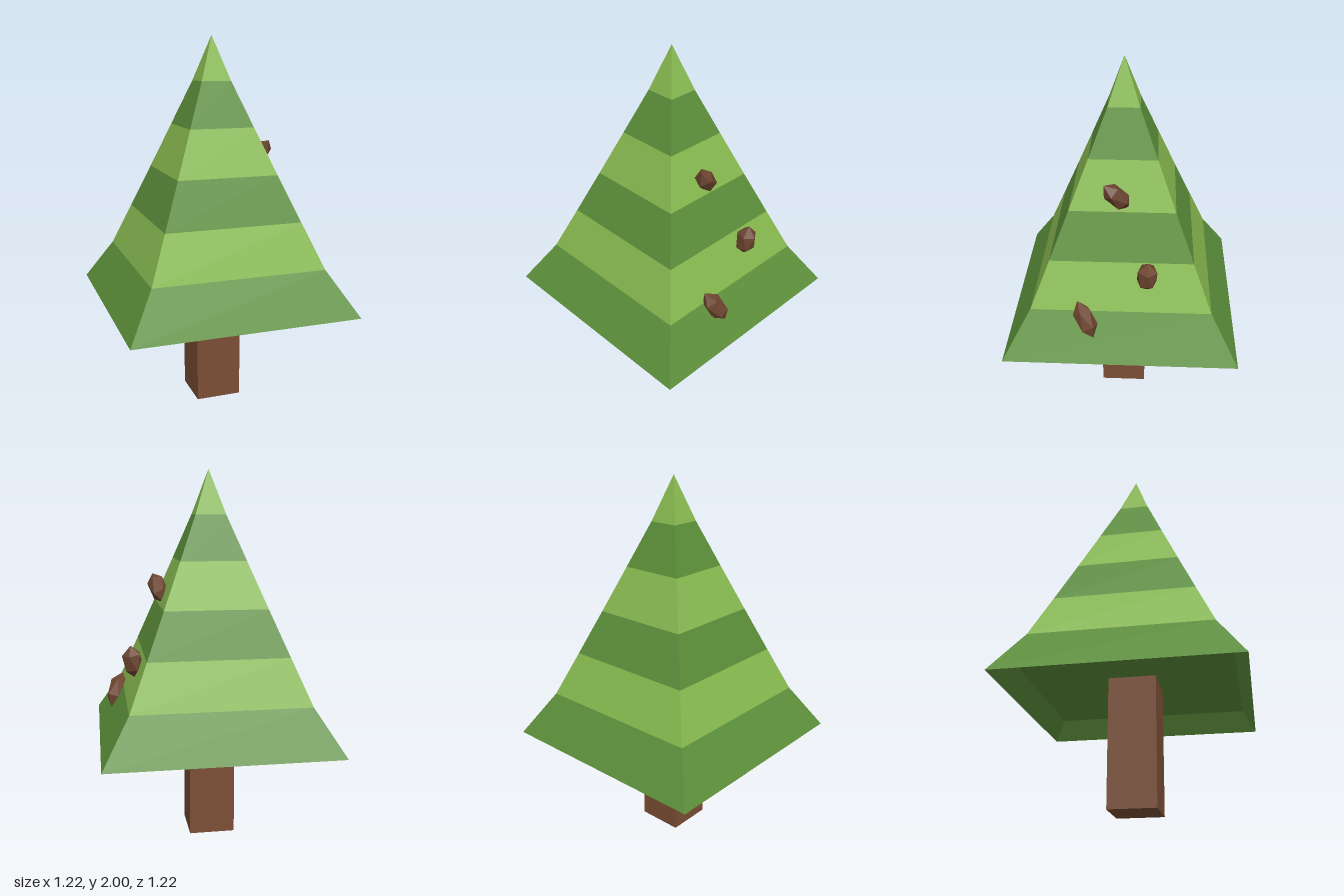
import * as THREE from 'three';

export function createModel() {
  const mat = (name, color, side = THREE.FrontSide) => {
    const m = new THREE.MeshStandardMaterial({ color, flatShading: true, side });
    m.name = name;
    return m;
  };
  const darkGreen = mat('dark green', 0x5c8f3a, THREE.DoubleSide);
  const lightGreen = mat('light green', 0x88ba50, THREE.DoubleSide);
  const bark = mat('bark brown', 0x7b4e34);
  const coneBrown = mat('cone brown', 0x6d4530);

  const model = new THREE.Group();
  model.name = 'tree';
  const add = (name, geometry, material) => {
    const mesh = new THREE.Mesh(geometry, material);
    mesh.name = name;
    model.add(mesh);
    return mesh;
  };

  // Trunk, reaching up to the underside of the foliage
  add('trunk', new THREE.BoxGeometry(0.25, 0.68, 0.25).translate(0, 0.34, 0), bark);

  // Foliage: stacked square bands, [height, half width] at each edge
  const rings = [
    [0.568, 0.61], [0.805, 0.467], [1.045, 0.369], [1.285, 0.272],
    [1.528, 0.175], [1.765, 0.081], [2.0, 0],
  ];
  for (let i = 0; i < rings.length - 1; i++) {
    const [y0, w0] = rings[i];
    const [y1, w1] = rings[i + 1];
    const band = new THREE.CylinderGeometry(w1 * Math.SQRT2, w0 * Math.SQRT2, y1 - y0, 4, 1, true);
    band.rotateY(Math.PI / 4).translate(0, (y0 + y1) / 2, 0);
    add(`foliageBand${i + 1}`, band, i % 2 ? lightGreen : darkGreen);
  }

  // Recessed underside of the foliage
  const underside = new THREE.PlaneGeometry(1.084, 1.084);
  underside.rotateX(Math.PI / 2).translate(0, 0.677, 0);
  add('foliageUnderside', underside, darkGreen);

  // Faceted cones on the left face: bottom tip, top tip, radius
  const cones = [
    [[0.247, 1.3, -0.035], [0.298, 1.447, 0.09], 0.048],
    [[0.415, 0.915, -0.128], [0.437, 1.09, -0.138], 0.053],
    [[0.54, 0.687, 0.137], [0.467, 0.867, 0.222], 0.05],
  ];
  const tipAngle = Math.atan(2 / (1 + Math.sqrt(5)));
  cones.forEach(([bottom, top, radius], i) => {
    const a = new THREE.Vector3(...bottom);
    const axis = new THREE.Vector3(...top).sub(a);
    const length = axis.length();
    const geometry = new THREE.IcosahedronGeometry(1, 0).rotateZ(-tipAngle);
    geometry.scale(radius * 1.1, length / 2, radius * 1.1);
    const cone = add(`cone${i + 1}`, geometry, coneBrown);
    cone.quaternion.setFromUnitVectors(new THREE.Vector3(0, 1, 0), axis.clone().normalize());
    cone.position.copy(a).addScaledVector(axis, 0.5);
  });

  return model;
}
